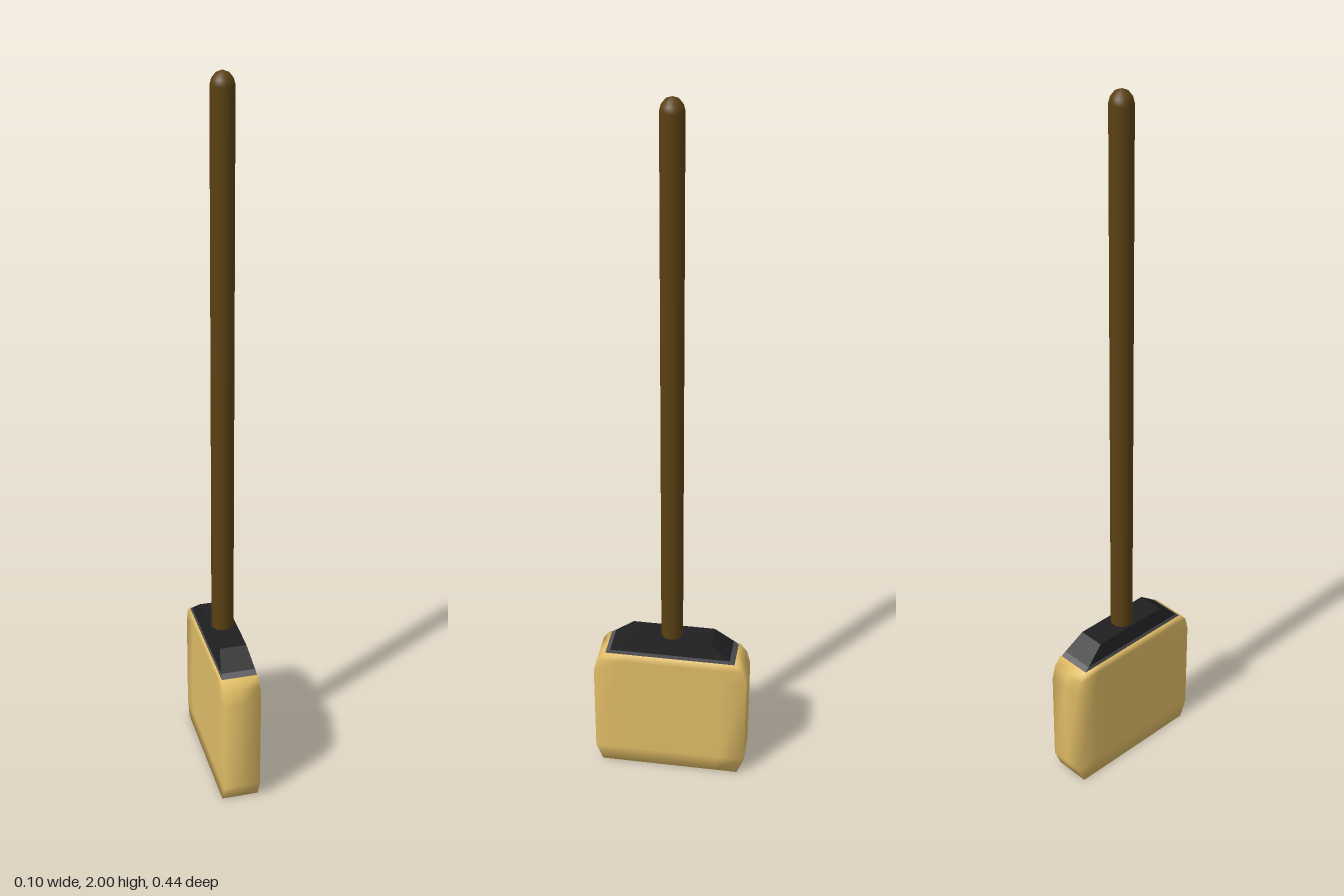
import * as THREE from 'three';
import { mergeVertices } from 'three/addons/utils/BufferGeometryUtils.js';

function mesh(name, geometry, color, flatShading = false) {
  const m = new THREE.Mesh(geometry, new THREE.MeshStandardMaterial({ color, flatShading }));
  m.name = name;
  return m;
}

// Stack of rectangles; each level is [y, half width, half depth]
function rectStack(levels, xs, zs) {
  const g = new THREE.BoxGeometry(2, 2, 2, xs.length - 1, levels.length - 1, zs.length - 1);
  const p = g.attributes.position;
  const index = (v, n) => Math.round((v + 1) / 2 * (n - 1));
  for (let i = 0; i < p.count; i++) {
    const [y, w, d] = levels[index(p.getY(i), levels.length)];
    p.setXYZ(i, xs[index(p.getX(i), xs.length)] * w, y, zs[index(p.getZ(i), zs.length)] * d);
  }
  g.computeVertexNormals();
  return g;
}

export function createModel() {
  const broom = new THREE.Group();
  broom.name = 'broom';

  // Bristle block with softened shading across its edges
  let bristles = rectStack(
    [[0, 0.052, 0.2], [0.05, 0.052, 0.22], [0.33, 0.052, 0.22], [0.37, 0.052, 0.21], [0.395, 0.052, 0.19]],
    [-1, 0, 1], [-1, -0.66, 0.66, 1]);
  bristles.deleteAttribute('normal');
  bristles.deleteAttribute('uv');
  bristles = mergeVertices(bristles);
  bristles.computeVertexNormals();
  broom.add(mesh('bristles', bristles, 0xe0bc66));

  // Grey binding band and tapered dark cap
  broom.add(mesh('bindingBand', rectStack([[0.39, 0.05, 0.191], [0.406, 0.048, 0.173]], [-1, 1], [-1, 1]), 0x55555a, true));
  broom.add(mesh('cap', rectStack([[0.405, 0.048, 0.173], [0.45, 0.038, 0.117]], [-1, 1], [-1, 1]), 0x202022, true));

  // Round handle with a domed tip
  const profile = [[0, 0.42], [0.031, 0.42], [0.031, 1.965], [0.027, 1.98], [0.017, 1.993], [0, 2]];
  const handle = new THREE.LatheGeometry(profile.map(([r, y]) => new THREE.Vector2(r, y)), 24);
  broom.add(mesh('handle', handle, 0x5a4012));

  return broom;
}
